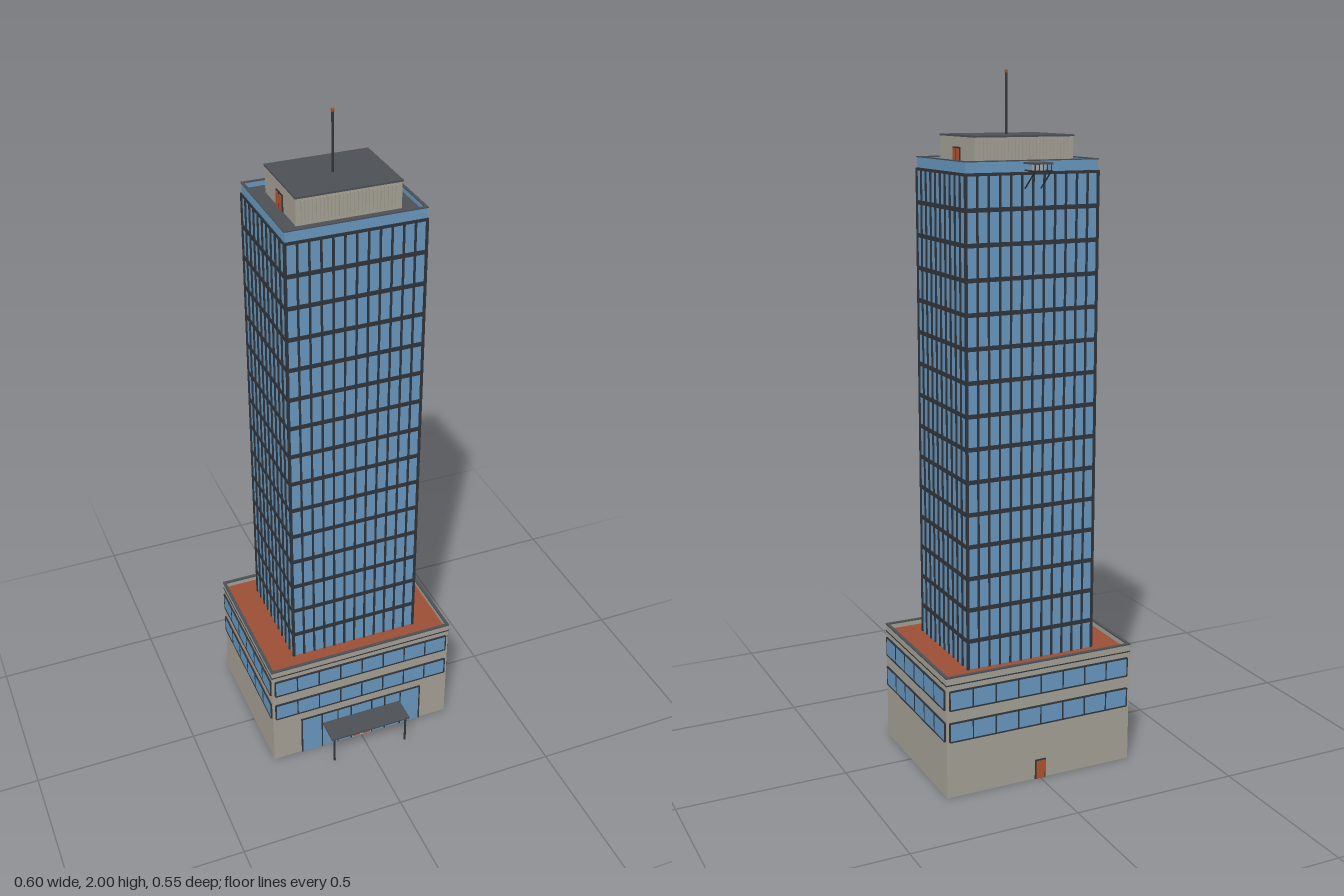
import * as THREE from 'three';

const mat = (name, color, side = THREE.FrontSide) => {
  const m = new THREE.MeshStandardMaterial({ color, side });
  m.name = name;
  return m;
};

export function createModel() {
  const concrete = mat('concrete', 0xa5a196);
  const glass = mat('blue glass', 0x6898bf);
  const frame = mat('dark frame', 0x30353b);
  const roofing = mat('slate roofing', 0x4c5055);
  const terracotta = mat('terracotta roof', 0x9b4f35);
  const doorRed = mat('door orange', 0xb0532f);
  const lightMetal = mat('light metal', 0xa9adb0);

  const model = new THREE.Group();
  model.name = 'officeTower';
  // the building itself is centred slightly behind the canopy
  const building = new THREE.Group();
  building.name = 'building';
  building.position.z = -0.04;
  model.add(building);

  const box = (parent, name, m, w, h, d, x, y, z) => {
    const mesh = new THREE.Mesh(new THREE.BoxGeometry(w, h, d), m);
    mesh.name = name;
    mesh.position.set(x, y, z);
    parent.add(mesh);
    return mesh;
  };

  // box given by its bottom and top heights
  const block = (parent, name, m, w, d, y0, y1, x = 0, z = 0) =>
    box(parent, name, m, w, y1 - y0, d, x, (y0 + y1) / 2, z);

  // round bar between two points
  const bar = (parent, name, m, a, b, r) => {
    const p = new THREE.Vector3(...a), q = new THREE.Vector3(...b);
    const mesh = new THREE.Mesh(new THREE.CylinderGeometry(r, r, p.distanceTo(q), 8), m);
    mesh.name = name;
    mesh.position.copy(p).add(q).multiplyScalar(0.5);
    mesh.quaternion.setFromUnitVectors(new THREE.Vector3(0, 1, 0), q.sub(p).normalize());
    parent.add(mesh);
  };

  // calls build(side, width, distance, index) once for each of the four walls;
  // wall 0 faces front, 1 faces +x, 2 faces back, 3 faces -x
  const fourSides = (name, hx, hz, build) => {
    for (let i = 0; i < 4; i++) {
      const side = new THREE.Group();
      side.name = name + ['Front', 'Left', 'Back', 'Right'][i];
      side.rotation.y = i * Math.PI / 2;
      building.add(side);
      build(side, i % 2 ? hz * 2 : hx * 2, i % 2 ? hx : hz, i);
    }
  };

  const door = (parent, x, y, z, w, h) => {
    block(parent, 'doorFrame', frame, w + 0.008, 0.004, y, y + h + 0.004, x, z);
    block(parent, 'door', doorRed, w, 0.004, y, y + h, x, z + 0.002);
  };

  // ---- podium ----
  const PX = 0.293, PZ = 0.23;
  block(building, 'podiumBody', concrete, PX * 2, PZ * 2, 0, 0.343);
  block(building, 'podiumRoof', terracotta, PX * 2 - 0.012, PZ * 2 - 0.012, 0.343, 0.347);

  fourSides('podium', PX, PZ, (s, w, d, i) => {
    block(s, 'parapet', concrete, w, 0.007, 0.34, 0.36, 0, d - 0.0035);
    block(s, 'parapetCoping', roofing, w + 0.004, 0.009, 0.36, 0.364, 0, d - 0.0025);
    block(s, 'ledge', frame, w + 0.002, 0.003, 0.338, 0.341, 0, d);

    // two ribbon windows per wall
    const bays = i % 2 ? 6 : 8, ww = w - 0.018;
    for (const y of [0.17, 0.265]) {
      block(s, 'windowGlass', glass, ww, 0.004, y, y + 0.056, 0, d + 0.001);
      for (const e of [y, y + 0.056])
        block(s, 'windowRail', frame, ww, 0.007, e - 0.002, e + 0.002, 0, d + 0.001);
      for (let k = 0; k <= bays; k++)
        block(s, 'windowMullion', frame, 0.004, 0.006, y, y + 0.056,
          (k / bays - 0.5) * ww, d + 0.001);
    }

    // entrance glazing with double doors
    if (i === 0) {
      block(s, 'entranceGlass', glass, 0.4, 0.004, 0, 0.137, 0, d + 0.0005);
      block(s, 'entranceHead', frame, 0.404, 0.005, 0.135, 0.139, 0, d + 0.001);
      for (const x of [-0.2, -0.133, -0.08, -0.035, 0.035, 0.08, 0.133, 0.2])
        block(s, 'entranceMullion', frame, 0.004, 0.006, 0, 0.137, x, d + 0.001);
      block(s, 'doorHead', lightMetal, 0.07, 0.008, 0.066, 0.072, 0, d + 0.001);
      for (const x of [-0.017, 0.017]) {
        block(s, 'doorLeafFrame', lightMetal, 0.032, 0.006, 0, 0.066, x, d + 0.001);
        block(s, 'doorLeafGlass', glass, 0.024, 0.004, 0.04, 0.062, x, d + 0.003);
        block(s, 'doorLeafPanel', doorRed, 0.024, 0.004, 0.003, 0.038, x, d + 0.003);
      }
    }
    // service door
    if (i === 2) door(s, 0, 0, d + 0.001, 0.026, 0.055);
  });

  // ---- entrance canopy ----
  const canopy = new THREE.Group();
  canopy.name = 'canopy';
  model.add(canopy);
  block(canopy, 'canopyRoof', roofing, 0.262, 0.082, 0.093, 0.099, 0, 0.231);
  for (const x of [-0.12, 0.12])
    bar(canopy, 'canopyPost', frame, [x, 0, 0.264], [x, 0.094, 0.264], 0.0035);

  // ---- tower ----
  const TX = 0.198, TZ = 0.166, Y0 = 0.345, ROOF = 1.748, TOP = 1.765;
  block(building, 'towerGlass', glass, TX * 2, TZ * 2, Y0, ROOF - 0.004);
  block(building, 'towerRoof', roofing, TX * 2 - 0.008, TZ * 2 - 0.008, ROOF - 0.004, ROOF);

  fourSides('tower', TX, TZ, (s, w, d, i) => {
    block(s, 'towerParapet', glass, w, 0.005, ROOF - 0.004, TOP - 0.003, 0, d - 0.0025);
    block(s, 'towerCoping', roofing, w + 0.004, 0.008, TOP - 0.003, TOP, 0, d - 0.002);
    // floor bands
    for (let k = 0; k < 15; k++) {
      const y = 0.432 + k * 0.0927, h = k === 14 ? 0.004 : 0.006;
      block(s, 'floorBand', frame, w + 0.006, 0.006, y - h, y + h, 0, d);
    }
    // vertical fins
    const bays = i % 2 ? 10 : 12;
    for (let k = 0; k <= bays; k++)
      block(s, 'fin', frame, 0.0055, 0.008, Y0, 1.732, (k / bays - 0.5) * w, d);
  });

  // ---- rooftop plant room ----
  const HX = 0.148, HZ = 0.115;
  block(building, 'plantRoom', concrete, HX * 2, HZ * 2, ROOF, 1.823);
  block(building, 'plantRoomRoof', roofing, 0.3, 0.235, 1.823, 1.828);
  fourSides('plantRoom', HX, HZ, (s, w, d, i) => {
    if (i % 2) {
      // pair of access doors
      for (const x of [-0.012, 0.012]) door(s, x, ROOF, d + 0.001, 0.016, 0.044);
    } else {
      // louvre slats
      for (let k = 0; k < 26; k++)
        block(s, 'louvreSlat', concrete, 0.005, 0.008, 1.757, 1.818, (k - 12.5) * 0.0105, d);
    }
  });

  // ---- mast ----
  bar(building, 'mast', frame, [0, 1.826, 0], [0, 1.992, 0], 0.004);
  block(building, 'mastBeacon', doorRed, 0.008, 0.008, 1.992, 2);

  // ---- maintenance platform behind the tower top ----
  const platform = new THREE.Group();
  platform.name = 'maintenancePlatform';
  model.add(platform);
  block(platform, 'platformDeck', roofing, 0.057, 0.064, 1.755, 1.76, 0, -0.236);
  block(platform, 'platformMotor', lightMetal, 0.03, 0.02, 1.738, 1.755, 0, -0.238);
  for (const x of [-0.024, 0.024]) {
    bar(platform, 'platformStrut', frame, [x, 1.69, -0.206], [x, 1.738, -0.265], 0.002);
    bar(platform, 'platformBeam', frame, [x, 1.738, -0.206], [x, 1.738, -0.265], 0.002);
  }
  for (let k = 0; k < 5; k++) {
    const x = (k - 2) * 0.012;
    bar(platform, 'platformPost', frame, [x, 1.738, -0.265], [x, 1.758, -0.265], 0.0015);
  }
  bar(platform, 'platformRail', frame, [-0.028, 1.738, -0.265], [0.028, 1.738, -0.265], 0.002);

  return model;
}
